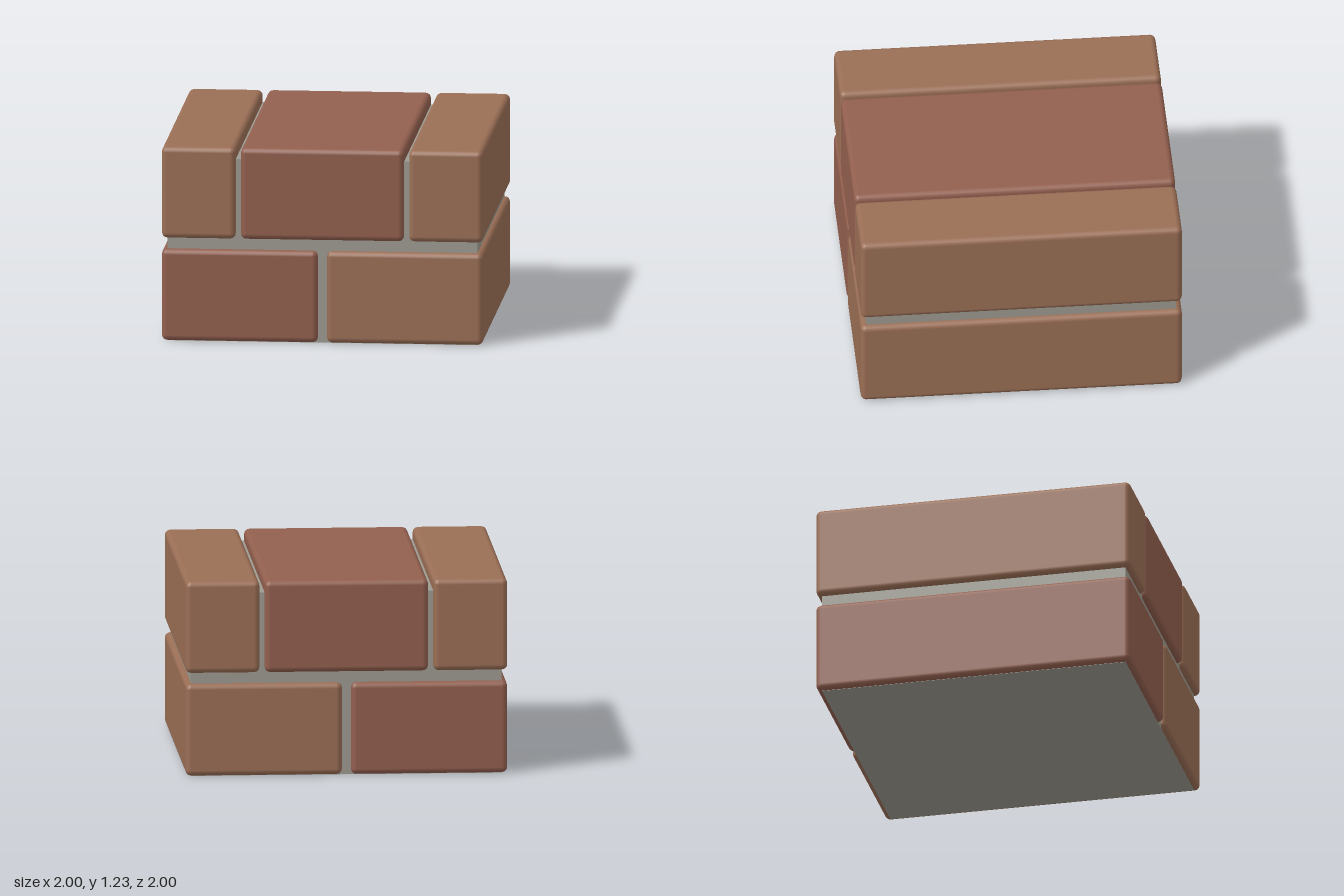
import * as THREE from 'three';
import { RoundedBoxGeometry } from 'three/addons/geometries/RoundedBoxGeometry.js';

export function createModel() {
  const model = new THREE.Group();
  model.name = 'brickBlock';

  const redBrick = new THREE.MeshStandardMaterial({ color: 0x925f4e });
  const tanBrick = new THREE.MeshStandardMaterial({ color: 0x9a6e55 });
  const mortarGrey = new THREE.MeshStandardMaterial({ color: 0x9c9a90 });

  // Mortar core, slightly recessed behind the brick faces
  const mortar = new THREE.Mesh(new THREE.BoxGeometry(1.93, 1.15, 1.93), mortarGrey);
  mortar.name = 'mortar';
  mortar.position.y = 0.575;
  model.add(mortar);

  // A full-depth brick with rounded edges, spanning x0..x1 and y0..y1
  function addBrick(name, x0, x1, y0, y1, material) {
    const geometry = new RoundedBoxGeometry(x1 - x0, y1 - y0, 2, 2, 0.035);
    const brick = new THREE.Mesh(geometry, material);
    brick.name = name;
    brick.position.set((x0 + x1) / 2, (y0 + y1) / 2, 0);
    model.add(brick);
  }

  // Lower course: two bricks
  addBrick('lowerRightBrick', -1, -0.028, 0.002, 0.58, redBrick);
  addBrick('lowerLeftBrick', 0.028, 1, 0.002, 0.58, tanBrick);

  // Upper course: one centre brick between two half bricks
  addBrick('upperCentreBrick', -0.508, 0.508, 0.648, 1.225, redBrick);
  addBrick('upperRightBrick', -1, -0.54, 0.648, 1.225, tanBrick);
  addBrick('upperLeftBrick', 0.54, 1, 0.648, 1.225, tanBrick);

  return model;
}
